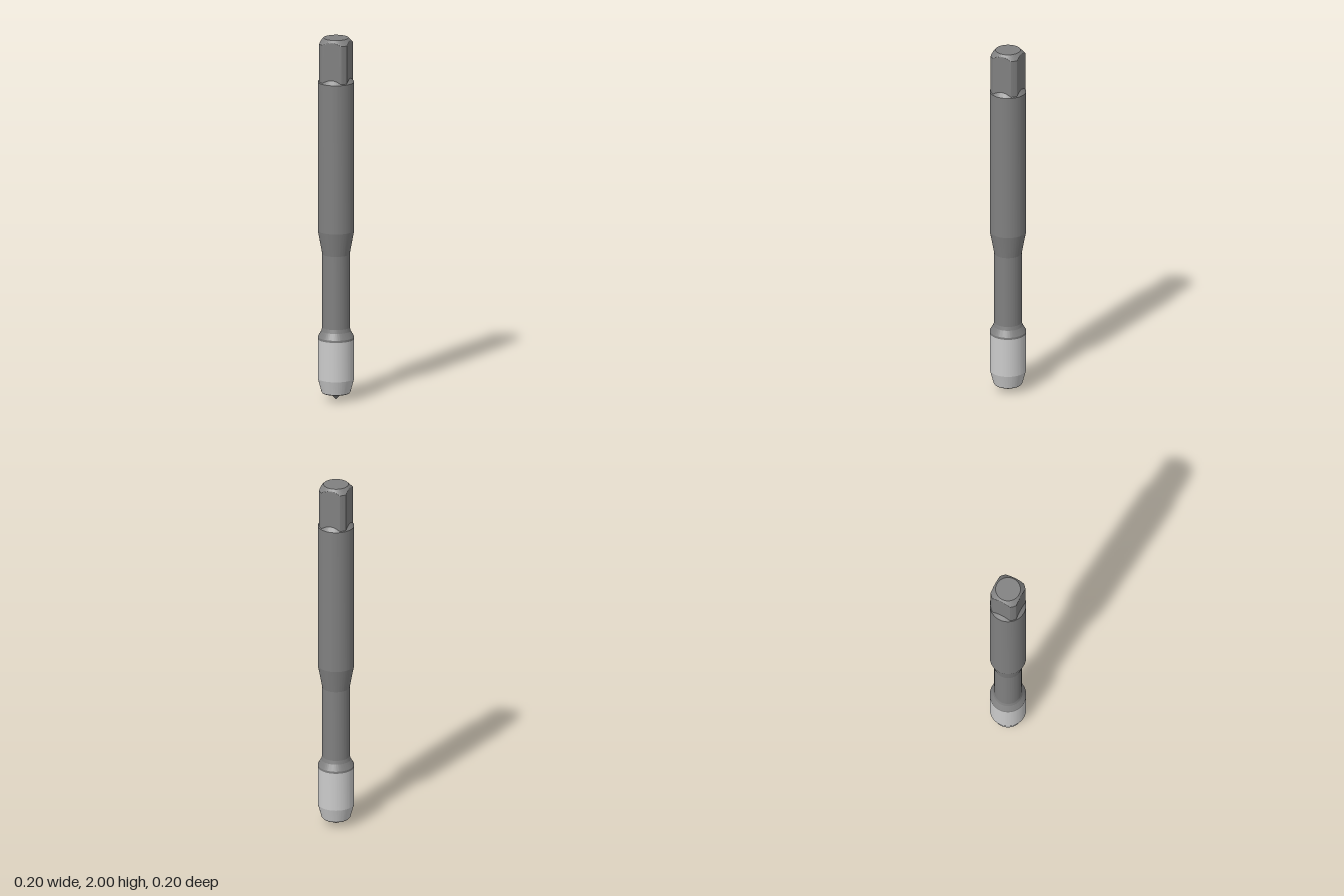
import * as THREE from 'three';
import { toCreasedNormals } from 'three/addons/utils/BufferGeometryUtils.js';

const STEEL = new THREE.MeshStandardMaterial({ color: 0x808080 });
const BRIGHT = new THREE.MeshStandardMaterial({ color: 0xcccccc });

// Turned part from [radius, height] pairs, listed bottom to top
function turned(name, profile, material, reshape) {
  const points = profile.map(([r, y]) => new THREE.Vector2(r, y));
  let geometry = new THREE.LatheGeometry(points, 144);
  if (reshape) reshape(geometry.attributes.position);
  geometry = toCreasedNormals(geometry, 0.15);
  const mesh = new THREE.Mesh(geometry, material);
  mesh.name = name;
  return mesh;
}

export function createModel() {
  const model = new THREE.Group();
  model.name = 'threadingTap';

  // Pointed centre and the flat end face around it
  model.add(turned('centrePoint', [[0, 0], [0.035, 0.037]], STEEL));
  model.add(turned('endFace', [[0.034, 0.037], [0.073, 0.037], [0.078, 0.043]], STEEL));

  // Cutting head: tapered lead below a straight section
  model.add(turned('cuttingHead', [[0.078, 0.043], [0.098, 0.117], [0.098, 0.335]], BRIGHT));

  // Flare, neck, taper, shank and its bevelled shoulder
  model.add(turned('shank', [
    [0.098, 0.335], [0.098, 0.347], [0.079, 0.38], [0.074, 0.4],
    [0.074, 0.805], [0.098, 0.935], [0.098, 1.757], [0.076, 1.782], [0, 1.782],
  ], STEEL));

  // Square drive: a bevelled round bar cut back to four flats
  const flat = 0.078, round = 0.0945, topRadius = 0.067;
  const drive = [[round, 1.762], [round, 1.972]];
  const steps = 8;
  for (let i = 1; i <= steps; i++) {
    const t = i / steps;
    drive.push([round + (topRadius - round) * t, 1.972 + 0.028 * t]);
  }
  drive.push([0, 2]);
  model.add(turned('squareDrive', drive, STEEL, (position) => {
    for (let i = 0; i < position.count; i++) {
      position.setX(i, THREE.MathUtils.clamp(position.getX(i), -flat, flat));
      position.setZ(i, THREE.MathUtils.clamp(position.getZ(i), -flat, flat));
    }
  }));

  return model;
}
